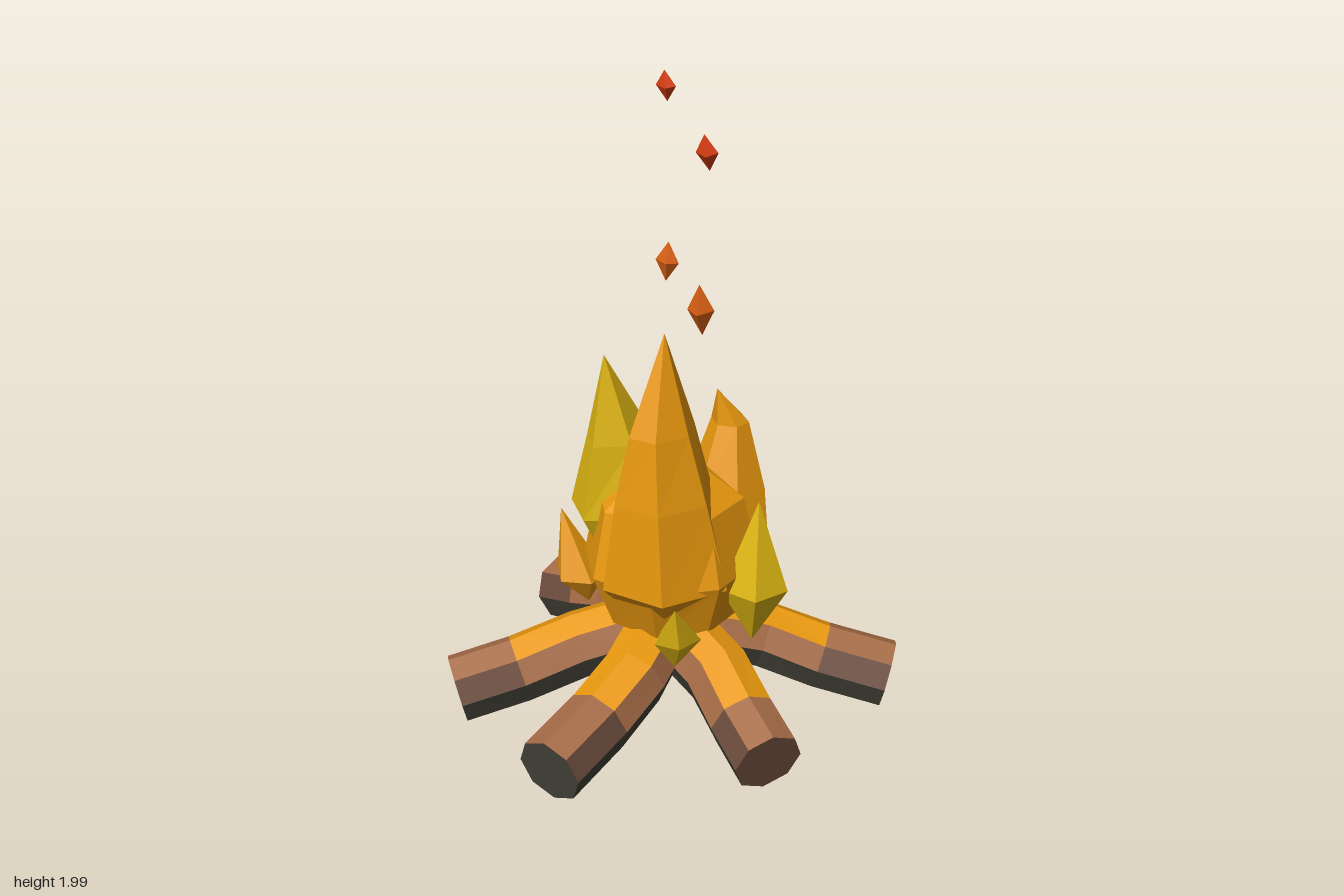
import * as THREE from 'three';

const paint = (name, color) => {
  const m = new THREE.MeshStandardMaterial({ color });
  m.name = name;
  return m;
};

const V = (x, y, z) => new THREE.Vector3(x, y, z);

// Faceted mesh from lists of triangles, one list per material
function facetMesh(name, parts) {
  const pos = [], mats = [];
  const geo = new THREE.BufferGeometry();
  parts.forEach(([mat, pts]) => {
    if (!pts.length) return;
    geo.addGroup(pos.length / 3, pts.length, mats.length);
    mats.push(mat);
    pts.forEach(p => pos.push(p.x, p.y, p.z));
  });
  geo.setAttribute('position', new THREE.Float32BufferAttribute(pos, 3));
  geo.computeVertexNormals();
  const mesh = new THREE.Mesh(geo, mats.length > 1 ? mats : mats[0]);
  mesh.name = name;
  return mesh;
}

// Flame tongue: base point, rings [x, y, z, rx, rz], tip point
function flame(name, mat, sides, phase, rings) {
  const loops = rings.map(([x, y, z, rx = 0, rz = rx]) =>
    Array.from({ length: sides }, (_, i) => {
      const a = phase + (i / sides) * Math.PI * 2;
      return V(x + rx * Math.cos(a), y, z + rz * Math.sin(a));
    }));
  const tris = [];
  for (let k = 0; k < loops.length - 1; k++) {
    const lo = loops[k], hi = loops[k + 1];
    for (let i = 0; i < sides; i++) {
      const j = (i + 1) % sides;
      if (k > 0) tris.push(lo[j], lo[i], hi[i]);
      if (k < loops.length - 2) tris.push(lo[j], hi[i], hi[j]);
      if (k === 0 && loops.length === 2) tris.push(lo[j], lo[i], hi[i]);
    }
  }
  return facetMesh(name, [[mat, tris]]);
}

// Bent eight-sided log with charred underside, bark sides and glowing top
function log(name, path, mats, capMat) {
  const { glow, bark, darkBark, char } = mats;
  const sides = 8, radius = 0.103;
  const lists = new Map([glow, bark, darkBark, char].map(m => [m, []]));
  const rings = path.map((c, k) => {
    const d = path[Math.min(k + 1, path.length - 1)].clone().sub(path[Math.max(k - 1, 0)]).normalize();
    const s = d.clone().cross(V(0, 1, 0)).normalize();
    const u = s.clone().cross(d);
    return Array.from({ length: sides }, (_, i) => {
      const a = (i / sides) * Math.PI * 2;
      return c.clone().addScaledVector(s, radius * Math.sin(a)).addScaledVector(u, radius * Math.cos(a));
    });
  });
  for (let i = 0; i < sides; i++) {
    const j = (i + 1) % sides;
    for (let k = 0; k < rings.length - 1; k++) {
      const a = rings[k], b = rings[k + 1];
      const top = i === 0 || i === 7, flank = i === 1 || i === 6;
      const mat = top ? (k === 0 ? bark : glow) : flank ? (k === 0 ? darkBark : bark) : char;
      lists.get(mat).push(a[i], a[j], b[j], a[i], b[j], b[i]);
    }
    const last = rings.length - 1;
    lists.get(capMat).push(path[0], rings[0][j], rings[0][i]);
    lists.get(glow).push(path[last], rings[last][i], rings[last][j]);
  }
  return facetMesh(name, [...lists]);
}

export function createModel() {
  const model = new THREE.Group();
  model.name = 'campfire';
  const orange = paint('flameOrange', 0xe8980e);
  const yellow = paint('flameYellow', 0xe0b812);
  const bark = paint('bark', 0xa66c47);
  const darkBark = paint('darkBark', 0x6c4c3c);
  const char = paint('charcoal', 0x45443a);
  const emberOrange = paint('emberOrange', 0xd85f14);
  const emberRed = paint('emberRed', 0xdc3f12);

  // Ring of logs leaning on each other: outer end, bend, inner bend in x, z
  const logs = new THREE.Group();
  logs.name = 'logs';
  const logMats = { glow: orange, bark, darkBark, char };
  [
    ['backLog', [0.12, -0.59, 0.11, -0.43, 0.085, -0.27], char],
    ['leftLog', [0.585, -0.26, 0.42, -0.19, 0.27, -0.11], char],
    ['frontLeftLog', [0.46, 0.485, 0.34, 0.32, 0.23, 0.18], darkBark],
    ['frontLog', [-0.145, 0.56, -0.09, 0.41, -0.03, 0.25], darkBark],
    ['rightLog', [-0.615, 0.16, -0.39, 0.12, -0.22, 0.09], char],
    ['backRightLog', [-0.52, -0.355, -0.36, -0.255, -0.2, -0.16], char],
  ].forEach(([name, p, cap]) => {
    const path = [
      V(p[0], 0.115, p[1]), V(p[2], 0.16, p[3]),
      V(p[4], 0.22, p[5]), V(p[4] * 0.35, 0.265, p[5] * 0.35),
    ];
    logs.add(log(name, path, logMats, cap));
  });
  model.add(logs);

  // Large overlapping flames
  const fire = new THREE.Group();
  fire.name = 'fire';
  fire.add(
    flame('flameCore', orange, 8, 0.2, [
      [0.02, 0.21, 0], [0.02, 0.33, 0, 0.2, 0.2], [0.025, 0.5, 0, 0.275, 0.255],
      [0.03, 0.7, -0.01, 0.23, 0.21], [0.03, 0.86, -0.02]]),
    flame('tallFlame', orange, 6, 0.3, [
      [-0.03, 0.24, 0.04], [-0.04, 0.48, 0.05, 0.215, 0.2], [-0.065, 0.75, 0.055, 0.16, 0.145],
      [-0.075, 0.96, 0.06, 0.11, 0.085], [-0.06, 1.25, 0.055]]),
    flame('backLeftFlame', orange, 6, 0.6, [
      [0.07, 0.24, -0.05], [0.1, 0.42, -0.07, 0.17, 0.17], [0.12, 0.69, -0.1, 0.14, 0.145],
      [0.1, 0.88, -0.125, 0.065, 0.085], [0.1, 1.07, -0.135]]),
    flame('leftFlame', orange, 6, 0, [
      [0.13, 0.25, 0.04], [0.15, 0.45, 0.06, 0.14, 0.18], [0.2, 0.69, 0.05, 0.115, 0.12],
      [0.22, 0.89, 0.045, 0.052, 0.06], [0.175, 1.0, 0.035]]),
    flame('backYellowFlame', yellow, 5, 0.5, [
      [-0.08, 0.42, -0.14], [-0.075, 0.64, -0.155, 0.125, 0.125],
      [-0.06, 0.87, -0.14, 0.11, 0.085], [-0.11, 1.14, -0.14]]));

  // Small flames licking around the foot: base, widest ring, tip
  fire.add(
    flame('frontSmallFlame', yellow, 5, 1.1, [
      [0.12, 0.27, 0.24], [0.125, 0.45, 0.24, 0.1, 0.105], [0.12, 0.735, 0.26]]),
    flame('leftSmallFlame', yellow, 5, 0.2, [
      [0.27, 0.27, 0.03], [0.265, 0.4, 0.045, 0.09, 0.085], [0.26, 0.61, 0.065]]),
    flame('rightSmallFlame', yellow, 5, 2.2, [
      [-0.14, 0.26, 0.18], [-0.14, 0.36, 0.19, 0.075, 0.065], [-0.205, 0.5, 0.245]]),
    flame('backSmallFlame', orange, 5, 4.4, [
      [-0.09, 0.29, -0.24], [-0.1, 0.38, -0.265, 0.08, 0.08], [-0.125, 0.59, -0.32]]));
  model.add(fire);

  // Sparks drifting upward: position, half sizes, tilt
  const sparks = new THREE.Group();
  sparks.name = 'sparks';
  [
    [emberRed, [-0.04, 1.955, 0.04], [0.021, 0.045, 0.032], 0.12],
    [emberRed, [0.175, 1.705, -0.015], [0.028, 0.057, 0.036], 0.2],
    [emberOrange, [-0.01, 1.44, 0.015], [0.026, 0.057, 0.038], -0.1],
    [emberOrange, [0.16, 1.235, -0.02], [0.042, 0.08, 0.04], 0.08],
  ].forEach(([mat, at, size, tilt], i) => {
    const geo = new THREE.OctahedronGeometry(1).rotateY(0.5).scale(...size).rotateZ(tilt);
    geo.computeVertexNormals();
    const spark = new THREE.Mesh(geo, mat);
    spark.position.set(...at);
    spark.name = 'spark' + (i + 1);
    sparks.add(spark);
  });
  model.add(sparks);
  return model;
}
